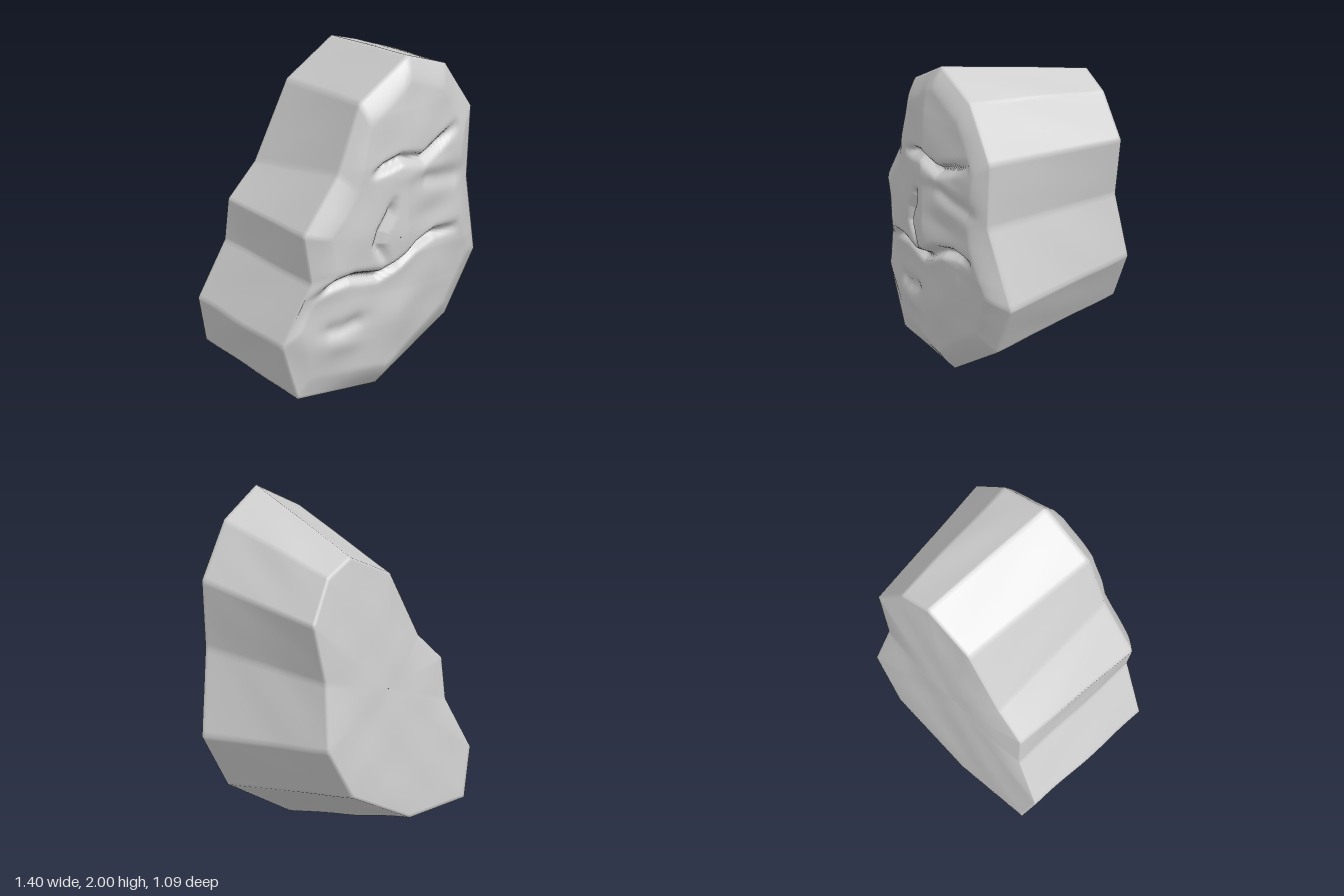
import * as THREE from 'three';

// Matching corners of the boulder's front rim and back rim, clockwise: x, y, z
const FRONT = [
  [0.12, 2.0, 0.45], [0.41, 1.88, 0.42], [0.61, 1.57, 0.4], [0.58, 1.15, 0.4], [0.7, 0.66, 0.31],
  [0.5, 0.31, 0.3], [0.0, 0.0, 0.3], [-0.57, 0.03, 0.32], [-0.7, 0.37, 0.34], [-0.54, 0.74, 0.41],
  [-0.59, 1.04, 0.4], [-0.36, 1.37, 0.42], [-0.22, 1.78, 0.44],
];
const BACK = [
  [0.24, 1.84, -0.42], [0.43, 1.77, -0.43], [0.58, 1.52, -0.46], [0.49, 1.14, -0.47], [0.53, 0.75, -0.53],
  [0.34, 0.42, -0.54], [-0.13, 0.16, -0.53], [-0.58, 0.15, -0.52], [-0.66, 0.43, -0.49], [-0.5, 0.76, -0.45],
  [-0.49, 1.01, -0.43], [-0.31, 1.2, -0.42], [-0.08, 1.65, -0.42],
];

// Carved lines of the face
const MOUTH = [[-0.5, 0.68], [-0.4, 0.72], [-0.28, 0.74], [-0.1, 0.72], [0, 0.76], [0.15, 0.85], [0.3, 0.89], [0.44, 0.89]];
const BROW = [[-0.16, 1.36], [-0.08, 1.39], [0.02, 1.42], [0.18, 1.38], [0.3, 1.43], [0.44, 1.5]];
const NOSE = [[-0.04, 1.17], [-0.06, 1.1], [-0.12, 1.0], [-0.14, 0.92], [-0.08, 0.81]];
const EYE = [[0.16, 1.27], [0.3, 1.23], [0.52, 1.2]];
const CHIN = [[-0.45, 0.42], [-0.32, 0.43], [-0.17, 0.47]];

const { lerp, smoothstep, clamp } = THREE.MathUtils;
const bump = (x, y, cx, cy, rx, ry) => Math.exp(-(((x - cx) / rx) ** 2) - ((y - cy) / ry) ** 2);

// Piecewise linear lookup in a list of [key, value]
function along(list, k) {
  for (let i = 1; i < list.length; i++) {
    const [a, va] = list[i - 1], [b, vb] = list[i];
    if (k <= b) return lerp(va, vb, clamp((k - a) / (b - a), 0, 1));
  }
  return list[list.length - 1][1];
}

// Depth profile of a groove, 1 on the line and fading out towards its ends
function groove(line, x, y, width) {
  let best = Infinity, pos = 0;
  for (let i = 1; i < line.length; i++) {
    const [ax, ay] = line[i - 1], dx = line[i][0] - ax, dy = line[i][1] - ay;
    const t = clamp(((x - ax) * dx + (y - ay) * dy) / (dx * dx + dy * dy), 0, 1);
    const d = Math.hypot(x - ax - t * dx, y - ay - t * dy);
    if (d < best) { best = d; pos = (i - 1 + t) / (line.length - 1); }
  }
  const taper = Math.min(1, 0.3 + 4 * Math.min(pos, 1 - pos));
  return taper * Math.exp(-((best / width) ** 2));
}

const wobble = (x, y, z) =>
  0.004 * Math.sin(9 * x + 5 * y + 2) * Math.sin(11 * y - 7 * z) + 0.002 * Math.sin(17 * x - 13 * y + 9 * z);

// Height of the carved face
const PROFILE = [[0, 0.39], [0.2, 0.42], [0.4, 0.455], [0.6, 0.485], [0.8, 0.525], [1.0, 0.535], [1.4, 0.545], [1.7, 0.535], [2, 0.51]];
function faceZ(x, y) {
  let z = along(PROFILE, y);
  z -= x > 0.05 ? 0.17 * (x - 0.05) : 0.1 * (0.05 - x);
  const below = along(MOUTH, x) - y;
  z -= 0.03 * smoothstep(below, -0.01, 0.03) * (1 - smoothstep(below, 0.05, 0.35)) * (1 - smoothstep(x, 0.32, 0.5));
  z -= 0.075 * groove(MOUTH, x, y, 0.028);
  z -= 0.06 * groove(BROW, x, y, 0.026);
  z -= 0.04 * groove(NOSE, x, y, 0.028);
  z -= 0.022 * groove(EYE, x, y, 0.05);
  z -= 0.025 * groove(CHIN, x, y, 0.045);
  z += 0.02 * bump(x, y, 0.02, 1.02, 0.12, 0.16);
  z += 0.015 * bump(x, y, 0.2, 1.31, 0.18, 0.05);
  z += 0.015 * bump(x, y, -0.3, 0.33, 0.14, 0.06);
  z -= 0.015 * bump(x, y, 0.25, 1.04, 0.2, 0.08);
  return z + wobble(x, y, 0);
}

// Sloping plane of the back
const backZ = (x, y) => -0.55 + 0.065 * y - 0.05 * x + wobble(x, y, 1);

export function createModel() {
  const PER = 16, N = FRONT.length * PER, FACE = 60, SIDE = 14;
  const pos = [], index = [];
  const rim = (list, i) => {
    const k = Math.floor(i / PER), a = list[k], b = list[(k + 1) % list.length];
    return a.map((v, j) => lerp(v, b[j], (i % PER) / PER));
  };
  const rings = [];
  const addRing = (fn) => {
    rings.push(pos.length / 3);
    for (let i = 0; i < N; i++) pos.push(...fn(rim(FRONT, i), rim(BACK, i)));
  };

  // Carved front with its rounded bevel
  const cx = 0.0, cy = 0.95;
  for (let r = 0; r <= FACE; r++) {
    const t = Math.max(r / FACE, 0.002);
    addRing(([fx, fy, fz]) => {
      const x = lerp(cx, fx, t), y = lerp(cy, fy, t);
      const inset = (1 - t) * Math.hypot(fx - cx, fy - cy);
      const k = Math.min(1, inset / 0.14);
      return [x, y, lerp(fz, faceZ(x, y), k * (1.7 - 0.7 * k))];
    });
  }
  // Tapering sides
  const steps = [0.025];
  for (let s = 1; s < SIDE; s++) steps.push(s / SIDE);
  steps.push(0.98, 1);
  for (const s of steps) {
    addRing((f, b) => {
      const p = f.map((v, j) => lerp(v, b[j], s));
      const w = 1 + 1.5 * wobble(...p) * Math.sin(Math.PI * s);
      return [p[0] * w, cy + (p[1] - cy) * w, p[2]];
    });
  }
  // Nearly flat back
  for (const t of [0.975, 0.9, 0.8, 0.7, 0.6, 0.45, 0.3, 0.15, 0.002]) {
    addRing((f, [bx, by, bz]) => {
      const x = lerp(0, bx, t), y = lerp(0.98, by, t);
      return [x, y, lerp(backZ(x, y), bz, t ** 4)];
    });
  }

  for (let r = 1; r < rings.length; r++) {
    for (let i = 0; i < N; i++) {
      const j = (i + 1) % N, a = rings[r - 1] + i, b = rings[r - 1] + j, c = rings[r] + j, d = rings[r] + i;
      index.push(a, b, d, b, c, d);
    }
  }
  const geometry = new THREE.BufferGeometry();
  geometry.setAttribute('position', new THREE.Float32BufferAttribute(pos, 3));
  geometry.setIndex(index);
  geometry.computeVertexNormals();

  const stone = new THREE.MeshStandardMaterial({ color: 0xd0d0d0 });
  stone.name = 'pale grey stone';
  const boulder = new THREE.Mesh(geometry, stone);
  boulder.name = 'carvedBoulder';
  const group = new THREE.Group();
  group.name = 'stoneFace';
  group.add(boulder);
  return group;
}
